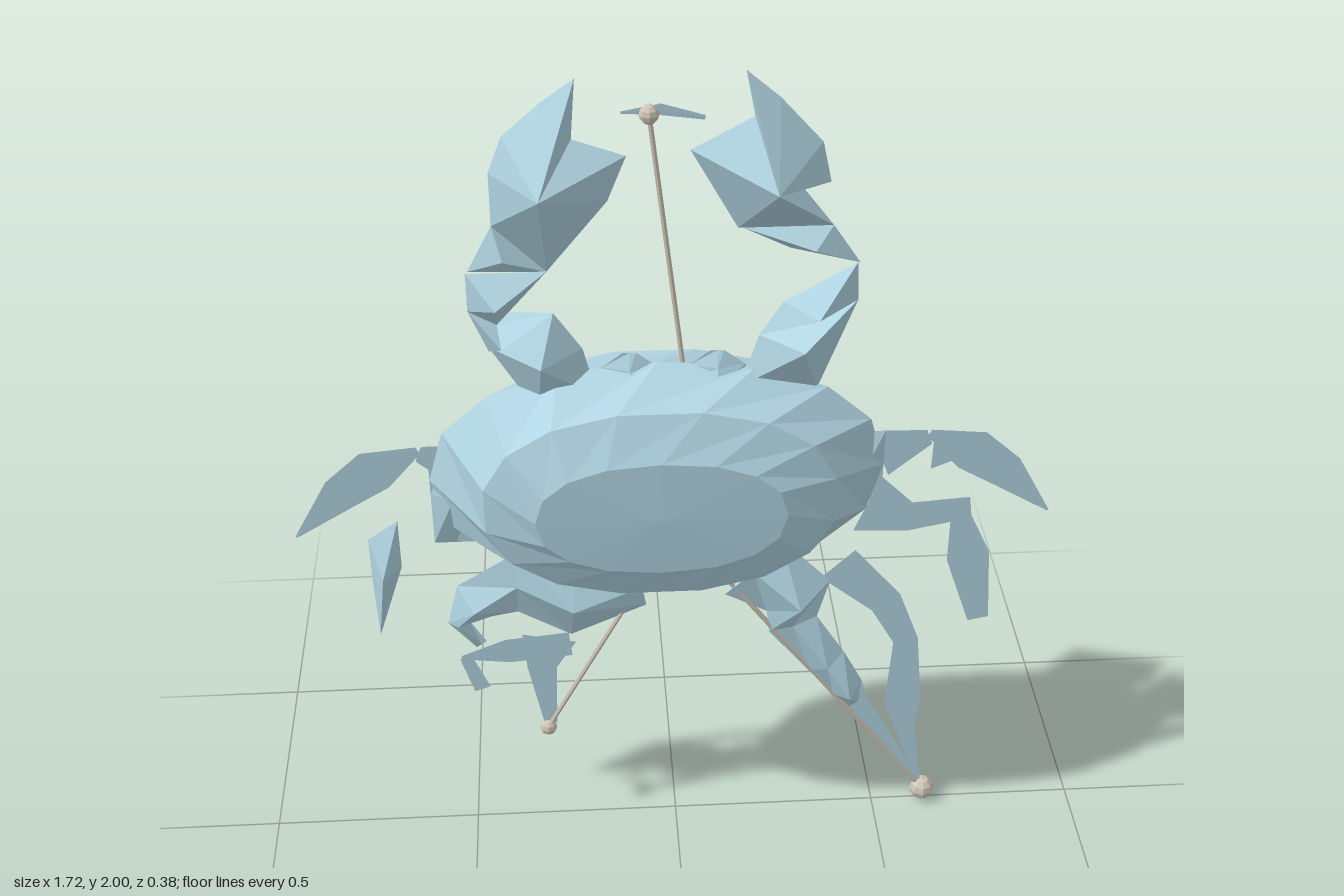
import * as THREE from 'three';

const shell = new THREE.MeshStandardMaterial({ color: 0xb2d6e4, flatShading: true, side: THREE.DoubleSide });
shell.name = 'shellBlue';
const rodGrey = new THREE.MeshStandardMaterial({ color: 0xd0c6b8, flatShading: true });
rodGrey.name = 'rodGrey';

// Coordinates are given in hundredths of a unit.
const point = (x, y, z = 0) => new THREE.Vector3(x, y, z).multiplyScalar(0.01);

const addMesh = (group, name, geometry, material) => {
  const mesh = new THREE.Mesh(geometry, material);
  mesh.name = name;
  group.add(mesh);
  return mesh;
};

// Skin over a row of loops; the first and last may shrink to a point
function loft(loops) {
  const corners = [];
  const tri = (...abc) => {
    if (new THREE.Triangle(...abc).getArea() > 1e-8) corners.push(...abc);
  };
  for (let k = 0; k + 1 < loops.length; k++) {
    const a = loops[k], b = loops[k + 1];
    for (let i = 0; i < a.length; i++) {
      const j = (i + 1) % a.length;
      tri(a[i], a[j], b[j]);
      tri(a[i], b[j], b[i]);
    }
  }
  const geometry = new THREE.BufferGeometry().setFromPoints(corners);
  geometry.computeVertexNormals();
  return geometry;
}

// Faceted shell: superellipse rings stacked in z, each turned half a step
function bodyGeometry() {
  const sides = 16;
  const rings = [[0, 0, -18.8], [0.54, 0.5, -18.2], [0.77, 0.84, -13], [1, 1, 0],
    [0.77, 0.84, 13], [0.54, 0.5, 18.2], [0, 0, 18.8]];
  const bend = (v) => Math.sign(v) * Math.abs(v) ** (2 / 2.25);
  return loft(rings.map(([sx, sy, z], k) => Array.from({ length: sides }, (_, i) => {
    const angle = (i + (k - 3) / 2) / sides * Math.PI * 2;
    return point(-4 + 51 * sx * bend(Math.cos(angle)), 104 + 29 * sy * bend(Math.sin(angle)), z);
  })));
}

// Gem: a flat outline raised to a peak on both sides
function gem(outline, [px, py], depth) {
  const peak = (z) => outline.map(() => point(px, py, z));
  return loft([peak(-depth), outline.map(([x, y]) => point(x, y)), peak(depth)]);
}

// Limb of diamond cross-sections; each station is [x, y, width, half depth]
function limb(stations) {
  const diamonds = stations.map(([x, y, width, depth = 0.02], i) => {
    const before = stations[Math.max(i - 1, 0)];
    const after = stations[Math.min(i + 1, stations.length - 1)];
    const across = new THREE.Vector2(before[1] - after[1], after[0] - before[0]).setLength(width / 2);
    return [point(x + across.x, y + across.y), point(x, y, depth),
      point(x - across.x, y - across.y), point(x, y, -depth)];
  });
  const cap = ([x, y]) => Array(4).fill(point(x, y));
  return loft([cap(stations[0]), ...diamonds, cap(stations[stations.length - 1])]);
}

// Thin rod with a ball at its far end
function addRod(group, name, from, to, radius) {
  const a = point(...from), b = point(...to);
  const direction = b.clone().sub(a);
  const rod = addMesh(group, name, new THREE.CylinderGeometry(0.006, 0.006, direction.length(), 6), rodGrey);
  rod.position.copy(a).lerp(b, 0.5);
  rod.quaternion.setFromUnitVectors(new THREE.Vector3(0, 1, 0), direction.normalize());
  addMesh(group, name + 'Ball', new THREE.SphereGeometry(radius, 8, 6), rodGrey).position.copy(b);
}

export function createModel() {
  const model = new THREE.Group();
  model.name = 'crab';
  const add = (name, geometry) => addMesh(model, name, geometry, shell);

  // Shell with eye bumps and squared flanks
  add('body', bodyGeometry());
  for (const x of [-10, 9]) add('eyeBump', limb([[x, 127, 18, 5], [x, 132, 12, 2], [x, 135.5, 3]]));
  add('rightFlank', limb([[-50, 113, 10], [-50, 100, 10, 3], [-50, 86.5, 10]]));
  add('leftFlank', limb([[42, 113, 10], [42, 104, 10, 3], [42, 94, 10]]));

  // Pincers
  add('rightPincer', gem([[-20, 199], [-27, 194], [-35, 187], [-38, 179], [-38, 167], [-27, 156],
    [-14, 172], [-10, 182], [-21, 186]], [-28, 178], 12));
  add('leftPincer', gem([[3, 183], [13, 165], [33, 165], [24, 176], [32, 175], [30, 184],
    [21, 194], [14, 200], [16, 190]], [20, 178], 12));

  // Arms
  add('rightWrist', gem([[-38, 167], [-43.5, 156.5], [-27, 156]], [-36, 160], 3));
  add('rightForearm', gem([[-44, 156], [-44, 147], [-38, 143.5], [-27, 156]], [-38, 150], 6));
  add('rightElbow', gem([[-44, 147], [-40, 137], [-26, 146], [-38, 143.5]], [-37, 142], 8));
  add('rightUpperArm', gem([[-40, 138], [-30, 121], [-17, 125], [-20, 137], [-26, 146]], [-29, 136], 7));
  add('leftWrist', gem([[14, 165], [24, 160], [39, 156], [33, 165]], [29, 161], 4));
  add('leftElbow', gem([[23, 147], [18, 139], [39, 147], [38.5, 156]], [30, 146], 7));
  add('leftUpperArm', gem([[14, 126], [31, 125], [39, 147], [18, 139]], [27, 139], 8.5));

  // Matching front legs, flat and curved
  for (const [side, s] of [['left', 1], ['right', -1]]) {
    add(side + 'FrontThigh', limb([[s * 46, 107, 13], [s * 57, 111, 4]]));
    add(side + 'FrontShin', limb([[s * 57, 112, 2], [s * 67, 107, 11], [s * 75, 101, 9], [s * 86, 89.5, 0.5]]));
  }
  add('leftFrontSpur', limb([[59, 111, 2], [62, 104, 9]]));

  // Middle legs
  add('rightMiddleShin', gem([[-63, 93], [-70, 88], [-70, 77], [-69.5, 60], [-63, 80]], [-67, 80], 5.2));
  add('leftMiddleThigh', limb([[44, 93, 16], [54, 89, 8], [68, 91, 6]]));
  add('leftMiddleShin', limb([[66, 88, 5], [68.5, 77, 10], [72.5, 58, 5]]));

  // Rear legs
  add('rightRearThigh', limb([[-8, 72, 12, 1], [-24, 69, 22, 6], [-37, 74, 17, 2], [-47, 69, 12, 5],
    [-51, 63, 5, 2], [-46, 56, 3]]));
  add('rightRearShin', limb([[-51, 52, 1], [-40, 53.5, 7], [-25, 55, 7]]));
  add('rightRearFoot', limb([[-30, 57, 13], [-32, 48, 7], [-30.5, 30, 3]]));
  add('rightRearSpur', limb([[-50, 52, 3], [-46.5, 42, 4]]));
  add('leftLongLeg', limb([[38, 76, 11], [50, 64, 8], [55.5, 52, 6], [56, 32, 9], [57, 25, 5], [62, 4, 1]]));
  add('leftRearLeg', limb([[18, 76, 20, 2], [29, 67, 17, 6], [28, 58.5, 12, 1], [36.5, 46.5, 10, 3],
    [42, 38, 8, 5], [45, 33, 5], [62, 4, 2]]));

  // Small fin and the three rods
  add('topFin', limb([[-11, 191.5, 0.5], [-3, 192, 2.5], [6, 190, 1]]));
  addRod(model, 'topRod', [1.5, 133], [-5.3, 191], 0.021);
  addRod(model, 'rightRod', [-7, 75], [-31.2, 29], 0.021);
  addRod(model, 'leftRod', [10.5, 75], [62.8, 3.1], 0.031);

  return model;
}
